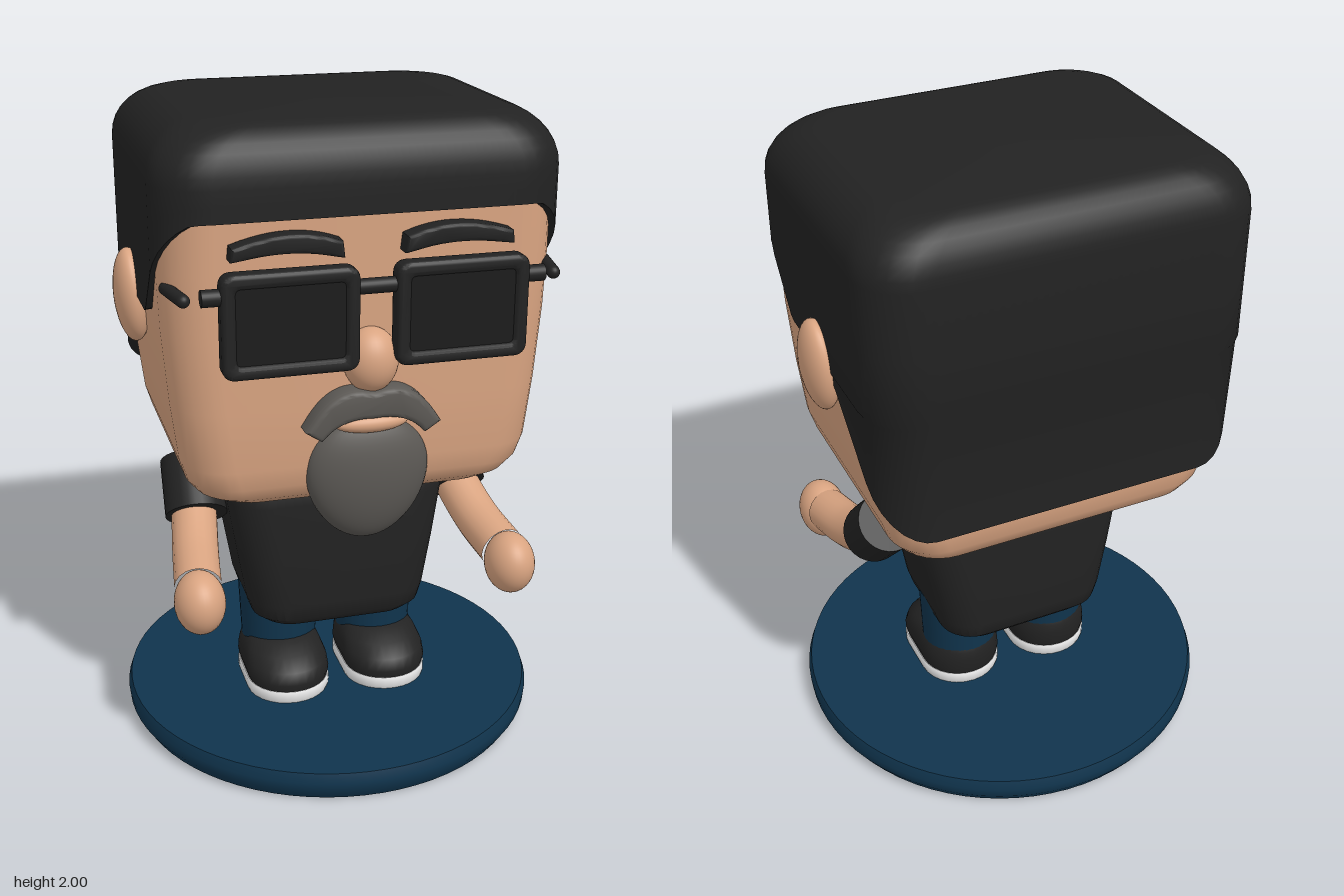
import * as THREE from 'three';
import { toCreasedNormals } from 'three/addons/utils/BufferGeometryUtils.js';
import { RoundedBoxGeometry } from 'three/addons/geometries/RoundedBoxGeometry.js';

const mat = (name, color) => Object.assign(new THREE.MeshStandardMaterial({ color }), { name });

// Rounded rectangle outline in x/z; straight sides are subdivided
function outline(hx, hz, r, cz = 0, sub = 28, n = 7) {
  r = Math.min(r, hx, hz);
  const arc = [], pts = [];
  [[1, 1], [-1, 1], [-1, -1], [1, -1]].forEach(([sx, sz], q) => {
    for (let k = 0; k <= n; k++) {
      const a = (q + k / n) * Math.PI / 2;
      arc.push([sx * (hx - r) + r * Math.cos(a), cz + sz * (hz - r) + r * Math.sin(a)]);
    }
  });
  arc.forEach((p, i) => {
    const next = arc[(i + 1) % arc.length], steps = i % (n + 1) === n ? sub : 1;
    for (let s = 0; s < steps; s++) pts.push(p.map((v, c) => v + (next[c] - v) * s / steps));
  });
  return pts;
}

// Skin over rings of points listed from bottom to top
function loft(rings, capBottom = true) {
  const n = rings[0].length, pos = rings.flat(2), idx = [];
  for (let i = 0; i < rings.length - 1; i++) for (let j = 0; j < n; j++) {
    const a = i * n + j, d = i * n + (j + 1) % n;
    idx.push(a, a + n, d, a + n, d + n, d);
  }
  const cap = (i, up) => {
    const c = pos.length / 3, ring = rings[i];
    const mid = [0, 1, 2].map(k => ring.reduce((s, p) => s + p[k], 0) / n);
    pos.push(...mid);
    for (let j = 0; j < n; j++) {
      const a = i * n + j, b = i * n + (j + 1) % n;
      idx.push(...(up ? [a, c, b] : [a, b, c]));
    }
  };
  if (capBottom) cap(0, false);
  cap(rings.length - 1, true);
  const g = new THREE.BufferGeometry();
  g.setAttribute('position', new THREE.Float32BufferAttribute(pos, 3));
  g.setIndex(idx);
  return toCreasedNormals(g, 0.7);
}

// Sections are [y, halfX, halfZ, cornerRadius, centreZ]
const block = (sections, sub = 2) => loft(sections.map(([y, hx, hz, r, cz]) =>
  outline(hx, hz, r, cz, sub).map(([x, z]) => [x, y, z])));

// Hair shell whose lower edge follows the hairline
function hairGeometry() {
  const cz = -0.018, seam = 1.44, domeY = 1.84, R = 0.16;
  const base = outline(0.59, 0.488, 0.15, cz);
  const line = z => z > 0.19 ? seam + Math.min(0.31, (z - 0.19) * 1.15) : Math.min(seam, 1.04 + (z + 0.505));
  const low = base.map(([, z]) => line(z));
  const row = (yOf, shrink) => base.map(([x, z], j) => {
    const y = yOf(low[j]), taper = Math.max(0, seam - y) * 0.07;
    return [x * (1 - shrink - taper), y, cz + (z - cz) * (1 - shrink)];
  });
  const rings = [
    row(y => y, 0.06), row(y => y, 0.008),
    row(y => Math.max(y, seam - 0.012), 0.008), row(y => Math.max(y, seam), 0),
    row(y => (Math.max(y, seam) + domeY) / 2, 0),
  ];
  for (let k = 0; k <= 8; k++) {
    const a = k / 8 * Math.PI / 2, inset = R * (1 - Math.cos(a));
    rings.push(outline(0.59 - inset, 0.488 - inset * 0.8, 0.15, cz).map(([x, z]) => [x, domeY + R * Math.sin(a), z]));
  }
  return loft(rings, false);
}

function extrude(shape, depth, bevel) {
  const g = new THREE.ExtrudeGeometry(shape, {
    depth, bevelEnabled: true, bevelSize: bevel, bevelThickness: bevel, bevelSegments: 3, curveSegments: 12 });
  return toCreasedNormals(g, 0.7);
}

function roundedRect(x0, y0, x1, y1, r, Type = THREE.Shape) {
  const s = new Type();
  s.moveTo(x0 + r, y0);
  s.lineTo(x1 - r, y0).quadraticCurveTo(x1, y0, x1, y0 + r);
  s.lineTo(x1, y1 - r).quadraticCurveTo(x1, y1, x1 - r, y1);
  s.lineTo(x0 + r, y1).quadraticCurveTo(x0, y1, x0, y1 - r);
  s.lineTo(x0, y0 + r).quadraticCurveTo(x0, y0, x0 + r, y0);
  return s;
}

export function createModel() {
  const root = new THREE.Group();
  root.name = 'figure';
  const skin = mat('skin', 0xd9a481), black = mat('black', 0x222222), lensMat = mat('lens', 0x1b1b1b);
  const navy = mat('navy', 0x10344d), grey = mat('grey', 0x5c5955), white = mat('white', 0xe6e6e6);

  const add = (name, geo, material, p = [0, 0, 0], parent = root) => {
    const m = new THREE.Mesh(geo, material);
    m.name = name;
    m.position.set(...p);
    parent.add(m);
    return m;
  };
  const ball = (name, material, p, r, parent) => {
    const m = add(name, new THREE.SphereGeometry(1, 32, 24), material, p, parent);
    m.scale.set(...r);
    return m;
  };
  const rod = (name, material, a, b, r, parent, capsule = false) => {
    const A = new THREE.Vector3(...a), B = new THREE.Vector3(...b), d = B.clone().sub(A), len = d.length();
    const geo = capsule ? new THREE.CapsuleGeometry(r, len, 6, 16) : new THREE.CylinderGeometry(r, r, len, 28);
    const m = add(name, geo, material, A.lerp(B, 0.5).toArray(), parent);
    m.quaternion.setFromUnitVectors(new THREE.Vector3(0, 1, 0), d.normalize());
    return m;
  };

  // Base disc
  const disc = [[0, 0], [0.645, 0], [0.667, 0.035], [0.67, 0.065], [0.66, 0.095], [0, 0.095]];
  add('base', toCreasedNormals(new THREE.LatheGeometry(disc.map(p => new THREE.Vector2(...p)), 72), 0.7), navy);

  // Head and hair
  add('head', block([
    [0.89, 0.38, 0.35, 0.12, -0.012], [0.897, 0.435, 0.405, 0.13, -0.012], [0.92, 0.48, 0.435, 0.14, -0.012],
    [0.96, 0.51, 0.453, 0.14, -0.012], [1.02, 0.528, 0.462, 0.14, -0.012], [1.2, 0.55, 0.463, 0.14, -0.012],
    [1.42, 0.568, 0.463, 0.14, -0.012], [1.6, 0.574, 0.463, 0.14, -0.012], [1.8, 0.572, 0.463, 0.14, -0.012],
  ]), skin);
  add('hair', hairGeometry(), black);

  // Nose, lip, moustache and beard
  ball('nose', skin, [0, 1.335, 0.465], [0.08, 0.095, 0.075]);
  ball('lip', skin, [0, 1.15, 0.475], [0.11, 0.03, 0.04]);
  const m = new THREE.Shape();
  m.moveTo(0, 1.235);
  m.bezierCurveTo(0.08, 1.26, 0.13, 1.23, 0.178, 1.15).lineTo(0.155, 1.135);
  m.quadraticCurveTo(0.1, 1.195, 0, 1.187).quadraticCurveTo(-0.1, 1.195, -0.155, 1.135);
  m.lineTo(-0.178, 1.15).bezierCurveTo(-0.13, 1.23, -0.08, 1.26, 0, 1.235);
  add('moustache', extrude(m, 0.05, 0.016), grey, [0, 0, 0.452]);
  const beard = new THREE.SphereGeometry(1, 36, 28), bp = beard.attributes.position;
  for (let i = 0; i < bp.count; i++) {
    const y = bp.getY(i);
    bp.setXYZ(i, bp.getX(i) * 0.182 * (1 + 0.14 * y), y * 0.195, bp.getZ(i) * 0.075 + y * 0.008);
  }
  beard.computeVertexNormals();
  add('beard', beard, grey, [0, 0.965, 0.44]);

  // Torso
  add('torso', block([
    [0.345, 0.2, 0.16, 0.1, -0.018], [0.352, 0.245, 0.2, 0.1, -0.018], [0.38, 0.277, 0.225, 0.11, -0.018],
    [0.43, 0.293, 0.232, 0.12, -0.018], [0.6, 0.322, 0.233, 0.12, -0.018], [0.78, 0.35, 0.23, 0.12, -0.018],
    [0.84, 0.35, 0.226, 0.12, -0.018], [0.88, 0.325, 0.205, 0.11, -0.018], [0.892, 0.27, 0.17, 0.1, -0.018],
  ]), black);

  // Glasses bridge
  rod('glassesBridge', black, [-0.07, 1.565, 0.515], [0.07, 1.565, 0.515], 0.022);

  for (const s of [1, -1]) {
    const side = s > 0 ? 'left' : 'right';
    const ear = ball(side + 'Ear', skin, [s * 0.594, 1.42, -0.055], [0.054, 0.145, 0.096]);
    ear.rotation.z = -s * 0.06;

    // Eyebrow
    const e = new THREE.Shape();
    e.moveTo(s * 0.095, 1.655);
    e.quadraticCurveTo(s * 0.23, 1.695, s * 0.393, 1.662).lineTo(s * 0.39, 1.682);
    e.quadraticCurveTo(s * 0.23, 1.735, s * 0.1, 1.685).lineTo(s * 0.095, 1.655);
    add(side + 'Eyebrow', extrude(e, 0.045, 0.01), black, [0, 0, 0.455]);

    // Spectacle frame, lens, hinge and temple
    const glasses = new THREE.Group();
    glasses.name = side + 'Glasses';
    root.add(glasses);
    const frame = roundedRect(-0.18, -0.135, 0.18, 0.135, 0.025);
    frame.holes.push(roundedRect(-0.165, -0.12, 0.165, 0.12, 0.03, THREE.Path));
    add('frame', extrude(frame, 0.035, 0.013), black, [s * 0.245, 1.48, 0.497], glasses);
    add('lens', new RoundedBoxGeometry(0.345, 0.255, 0.045, 3, 0.012), lensMat, [s * 0.245, 1.48, 0.513], glasses);
    rod('hinge', black, [s * 0.43, 1.565, 0.515], [s * 0.488, 1.565, 0.515], 0.024, glasses);
    rod('temple', black, [s * 0.53, 1.555, 0.49], [s * 0.555, 1.555, 0.36], 0.019, glasses, true);

    // Arm
    rod(side + 'Sleeve', black, [s * 0.425, 0.838, -0.105], [s * 0.435, 0.705, 0.025], 0.098);
    const path = new THREE.CatmullRomCurve3([[0.435, 0.74, -0.03], [0.445, 0.695, 0.04], [0.465, 0.64, 0.16], [0.488, 0.605, 0.32]]
      .map(([x, y, z]) => new THREE.Vector3(s * x, y, z)));
    add(side + 'Forearm', new THREE.TubeGeometry(path, 20, 0.072, 20), skin);
    const hand = ball(side + 'Hand', skin, [s * 0.493, 0.582, 0.37], [0.077, 0.098, 0.095]);
    hand.rotation.x = 0.2;

    // Leg, shoe and sole
    add(side + 'Leg', new THREE.CylinderGeometry(0.132, 0.122, 0.24, 32), navy, [s * 0.163, 0.31, -0.02]);
    add(side + 'Shoe', block([
      [0.13, 0.128, 0.19, 0.125, 0.045], [0.16, 0.135, 0.197, 0.132, 0.045], [0.195, 0.132, 0.188, 0.13, 0.038],
      [0.225, 0.122, 0.162, 0.12, 0.014], [0.248, 0.105, 0.132, 0.1, -0.004], [0.258, 0.08, 0.1, 0.08, -0.01],
    ]), black, [s * 0.165, 0, 0]);
    add(side + 'Sole', block([
      [0.095, 0.132, 0.192, 0.13, 0.045], [0.105, 0.136, 0.196, 0.134, 0.045],
      [0.128, 0.136, 0.196, 0.134, 0.045], [0.135, 0.132, 0.192, 0.13, 0.045],
    ]), white, [s * 0.165, 0, 0]);
  }
  return root;
}
